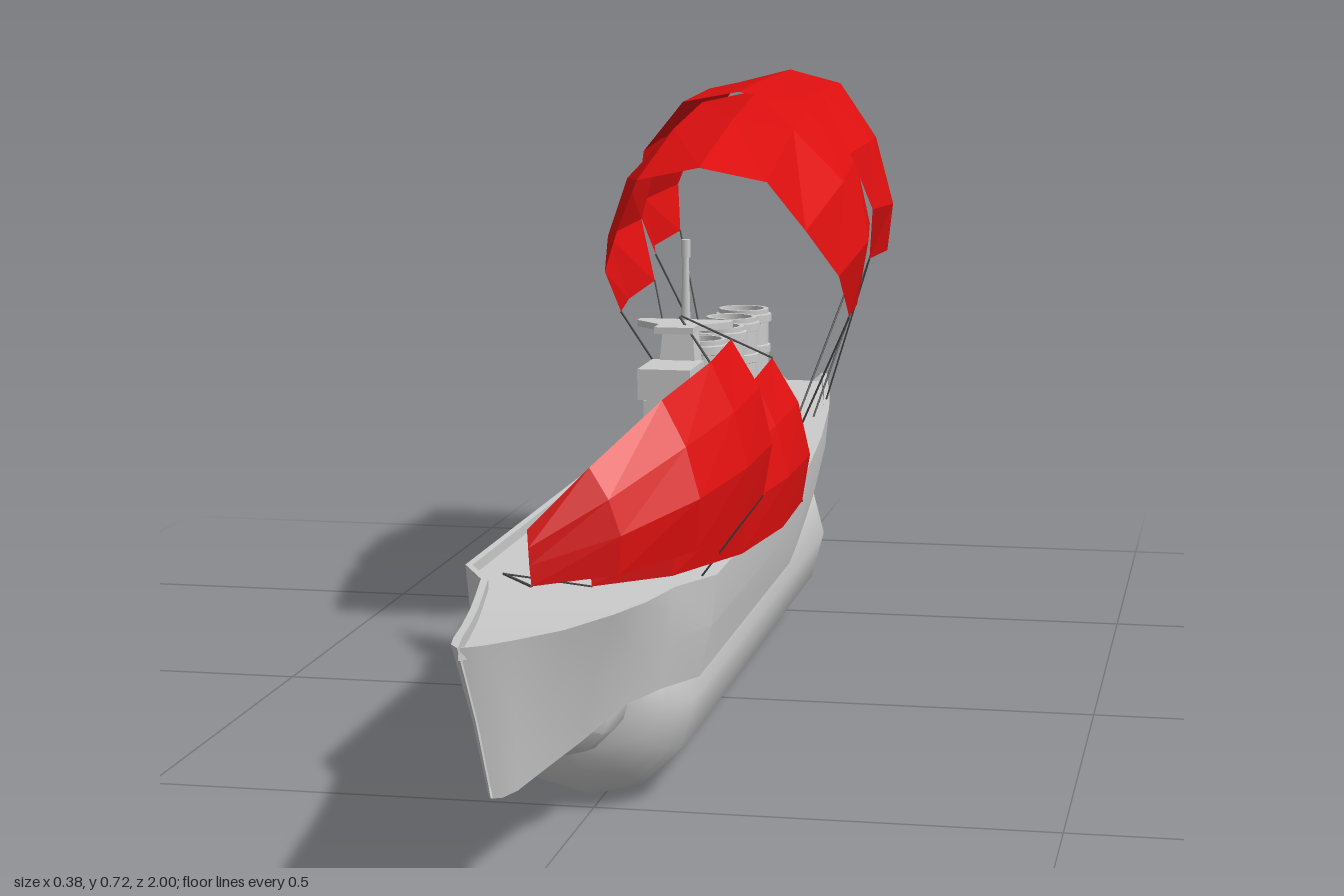
import * as THREE from 'three';
import { toCreasedNormals } from 'three/addons/utils/BufferGeometryUtils.js';

const grey = new THREE.MeshStandardMaterial({ color: 0xcccccc, side: THREE.DoubleSide });
const red = new THREE.MeshStandardMaterial({ color: 0xdd0f0f, side: THREE.DoubleSide, flatShading: true });
const ropeGrey = new THREE.MeshStandardMaterial({ color: 0x555555 });

function add(parent, name, geometry, material = grey, pos = [0, 0, 0]) {
  const mesh = new THREE.Mesh(geometry, material);
  mesh.name = name;
  mesh.position.set(...pos);
  parent.add(mesh);
  return mesh;
}

// Skin over rows of points, each row having the same count
function skin(rows) {
  const n = rows[0].length, index = [];
  for (let i = 0; i < rows.length - 1; i++) {
    for (let j = 0; j < n - 1; j++) {
      const a = i * n + j, b = a + n;
      index.push(a, b, a + 1, b, b + 1, a + 1);
    }
  }
  const g = new THREE.BufferGeometry();
  g.setAttribute('position', new THREE.Float32BufferAttribute(rows.flat(2), 3));
  g.setIndex(index);
  g.computeVertexNormals();
  return g;
}

// Box given by centre x, and ranges in y and z
function block(parent, name, w, y0, y1, z0, z1) {
  return add(parent, name, new THREE.BoxGeometry(w, y1 - y0, z1 - z0), grey, [0, (y0 + y1) / 2, (z0 + z1) / 2]);
}

// Turned solid lying along z, profile as [radius, z]
function turnedAlongZ(profile, sides) {
  const g = new THREE.LatheGeometry(profile.map(p => new THREE.Vector2(...p)), sides);
  g.rotateX(Math.PI / 2);
  return toCreasedNormals(g, 0.7);
}

function rope(parent, from, to) {
  const a = new THREE.Vector3(...from), b = new THREE.Vector3(...to);
  const mesh = add(parent, 'rope', new THREE.CylinderGeometry(0.0014, 0.0014, a.distanceTo(b), 4), ropeGrey);
  mesh.position.copy(a).add(b).multiplyScalar(0.5);
  mesh.quaternion.setFromUnitVectors(new THREE.Vector3(0, 1, 0), b.sub(a).normalize());
}

function buildHull(ship) {
  // top z, bottom z, top half-width, top y, bottom half-width, bottom y
  const stations = [
    [-1, -0.98, 0.04, 0.26, 0.032, 0.197],
    [-0.87, -0.87, 0.062, 0.258, 0.05, 0.19],
    [-0.8, -0.8, 0.074, 0.256, 0.06, 0.165],
    [-0.7, -0.7, 0.088, 0.254, 0.07, 0.143],
    [-0.45, -0.45, 0.114, 0.252, 0.096, 0.14],
    [-0.15, -0.15, 0.138, 0.252, 0.119, 0.14],
    [0.46, 0.46, 0.138, 0.252, 0.119, 0.14],
    [0.52, 0.52, 0.105, 0.25, 0.09, 0.14],
    [0.6, 0.59, 0.09, 0.25, 0.065, 0.138],
    [0.68, 0.66, 0.074, 0.254, 0.035, 0.116],
    [0.8, 0.76, 0.051, 0.264, 0.022, 0.114],
    [0.91, 0.84, 0.029, 0.278, 0.014, 0.114],
    [0.97, 0.87, 0.015, 0.286, 0.007, 0.115],
    [1, 0.885, 0.001, 0.29, 0.001, 0.118],
  ];
  const rings = stations.map(([zt, zb, w, yt, wb, yb]) => {
    const inner = Math.max(w - 0.008, w * 0.4), deck = yt - 0.012;
    const flare = zt > 0.55 ? 0.4 : 0.72;
    const mw = wb + (w - wb) * flare, my = (yt + yb) / 2, mz = zt * 0.45 + zb * 0.55;
    const half = [[inner, deck, zt], [inner, yt, zt], [w, yt, zt], [mw, my, mz], [wb, yb, zb]];
    const other = half.map(([x, y, z]) => [-x, y, z]).reverse();
    return [...half, ...other, half[0]];
  });
  // Flat transom closing the stern
  rings.unshift(rings[0].map(() => [0, 0.23, -0.99]));
  add(ship, 'hull', toCreasedNormals(skin(rings), 0.5));

  // Rounded tank under the hull with a smaller one through it
  const tank = [[0, -0.545]], r = 0.117;
  for (let i = 0; i <= 6; i++) {
    const a = i / 6 * Math.PI / 2;
    tank.push([r - 0.09 + 0.09 * Math.sin(a), -0.455 - 0.09 * Math.cos(a)]);
  }
  for (let i = 6; i >= 0; i--) {
    const a = i / 6 * Math.PI / 2;
    tank.push([r - 0.09 + 0.09 * Math.sin(a), 0.44 + 0.09 * Math.cos(a)]);
  }
  tank.push([0, 0.53]);
  add(ship, 'tank', turnedAlongZ(tank, 12), grey, [0, 0.118, 0]);
  add(ship, 'tankCore', turnedAlongZ([[0, -0.59], [0.022, -0.59], [0.036, -0.57], [0.055, -0.555], [0.058, -0.53],
    [0.058, 0.57], [0.052, 0.605], [0.03, 0.625], [0, 0.63]], 12), grey, [0, 0.136, 0]);
}

function buildSuperstructure(ship) {
  // Bridge tower
  block(ship, 'bridgeBase', 0.09, 0.235, 0.285, -0.075, 0.06);
  block(ship, 'bridgeBody', 0.062, 0.285, 0.37, -0.06, 0.03);
  block(ship, 'bridgeCabin', 0.068, 0.315, 0.345, -0.02, 0.065);
  block(ship, 'bridgeUpperCabin', 0.064, 0.375, 0.412, -0.03, 0.06);
  block(ship, 'bridgeNeck', 0.05, 0.34, 0.38, -0.045, 0.04);
  const tower = new THREE.CylinderGeometry(0.026, 0.046, 0.17, 4, 1).rotateY(Math.PI / 4);
  add(ship, 'bridgeTower', toCreasedNormals(tower, 0.5), grey, [0, 0.365, -0.045]);

  // Lookout platform with swept wings
  const plan = new THREE.Shape([[-0.058, 0.085], [0.058, 0.085], [0.058, 0.065], [0.024, 0.03],
    [0.024, 0], [-0.024, 0], [-0.024, 0.03], [-0.058, 0.065]].map(p => new THREE.Vector2(...p)));
  const wings = new THREE.ExtrudeGeometry(plan, { depth: 0.008, bevelEnabled: false }).rotateX(-Math.PI / 2);
  add(ship, 'lookoutPlatform', wings, grey, [0, 0.447, 0]);
  add(ship, 'mast', new THREE.CylinderGeometry(0.004, 0.006, 0.08, 8), grey, [0, 0.492, -0.078]);
  add(ship, 'mastHead', new THREE.CylinderGeometry(0.006, 0.006, 0.022, 8), grey, [0, 0.543, -0.078]);

  // Funnels on a shared plinth
  block(ship, 'funnelPlinth', 0.1, 0.235, 0.277, -0.545, -0.105);
  const profile = [[0.038, 0.26], [0.038, 0.3], [0.034, 0.302], [0.034, 0.36], [0.037, 0.361], [0.037, 0.371],
    [0.034, 0.372], [0.034, 0.402], [0.038, 0.403], [0.038, 0.413], [0.034, 0.414], [0.034, 0.42],
    [0.028, 0.42], [0.028, 0.36], [0, 0.36]].map(p => new THREE.Vector2(...p));
  const funnel = toCreasedNormals(new THREE.LatheGeometry(profile, 14), 0.6);
  for (const z of [-0.172, -0.3, -0.398, -0.492]) add(ship, 'funnel', funnel, grey, [0, 0, z]);

  // Deck posts with round heads
  for (const s of [-1, 1]) {
    add(ship, 'deckPost', new THREE.CylinderGeometry(0.006, 0.006, 0.045, 8), grey, [s * 0.056, 0.26, -0.09]);
    add(ship, 'deckPostHead', new THREE.SphereGeometry(0.009, 10, 8), grey, [s * 0.056, 0.28, -0.09]);
  }
}

function buildSails(group, ship) {
  // Side sails: columns from the front edge aft, each from top to bottom
  const sail = [
    [[0.008, 0.365, 0.82], [0.009, 0.347, 0.82], [0.01, 0.33, 0.82], [0.012, 0.31, 0.82]],
    [[0.06, 0.42, 0.78], [0.08, 0.39, 0.785], [0.092, 0.355, 0.785], [0.09, 0.317, 0.785]],
    [[0.115, 0.475, 0.7], [0.14, 0.43, 0.705], [0.155, 0.38, 0.71], [0.15, 0.327, 0.705]],
    [[0.145, 0.5, 0.6], [0.17, 0.45, 0.605], [0.185, 0.395, 0.61], [0.178, 0.338, 0.605]],
    [[0.148, 0.51, 0.5], [0.177, 0.46, 0.495], [0.19, 0.4, 0.49], [0.182, 0.347, 0.495]],
  ];
  for (const [dy, dz, name] of [[0, 0, 'foreSail'], [-0.055, -0.262, 'midSail']]) {
    add(group, name, skin(sail), red, [0, dy, dz]);
    rope(group, [-0.1, 0.25, 0.49], [0.012, 0.31 + dy, 0.82 + dz]);
    rope(group, [0.148, 0.51 + dy, 0.5 + dz], [-0.012, 0.463, -0.05]);
    rope(group, [0.182, 0.347 + dy, 0.495 + dz], dz ? [-0.012, 0.463, -0.04] : [0.11, 0.25, 0.46]);
  }

  // Arched sails: front, middle and back edge, each from crown to tip
  const arches = {
    archSailFront: [
      [[0, 0.635, -0.165], [0.083, 0.617, -0.182], [0.122, 0.55, -0.25], [0.155, 0.485, -0.32], [0.155, 0.42, -0.42]],
      [[0, 0.682, -0.41], [0.08, 0.668, -0.41], [0.146, 0.6, -0.42], [0.177, 0.52, -0.44], [0.157, 0.43, -0.48]],
      [[0, 0.709, -0.6], [0.078, 0.692, -0.6], [0.138, 0.62, -0.59], [0.16, 0.53, -0.58], [0.135, 0.448, -0.55]],
    ],
    archSailBack: [
      [[0, 0.715, -0.445], [0.078, 0.7, -0.46], [0.142, 0.63, -0.51], [0.165, 0.55, -0.57], [0.152, 0.475, -0.64]],
      [[0, 0.722, -0.66], [0.078, 0.708, -0.66], [0.148, 0.637, -0.67], [0.178, 0.548, -0.69], [0.168, 0.48, -0.71]],
      [[0, 0.725, -0.885], [0.075, 0.706, -0.88], [0.132, 0.63, -0.85], [0.155, 0.56, -0.82], [0.145, 0.495, -0.785]],
    ],
  };
  for (const [name, edges] of Object.entries(arches)) {
    const rows = edges.map(e => [...e, ...e.slice(1).map(([x, y, z]) => [-x, y, z])].sort((p, q) => p[0] - q[0]));
    // Rebuild tip order, as the widest point lies above the tip
    edges.forEach((e, i) => {
      rows[i] = [...e.slice(1).reverse().map(([x, y, z]) => [-x, y, z]), ...e];
    });
    add(ship, name, skin(rows), red);
    const deckZ = name === 'archSailFront' ? [-0.53, -0.44] : [-0.775, -0.67];
    for (const s of [-1, 1]) {
      [edges[0][4], edges[2][4]].forEach(([x, y, z], i) => rope(ship, [s * x, y, z], [s * 0.07, 0.245, deckZ[i]]));
    }
  }
}

export function createModel() {
  const model = new THREE.Group();
  model.name = 'sailingShip';
  const ship = new THREE.Group();
  ship.name = 'ship';
  ship.position.x = -0.012;
  model.add(ship);
  buildHull(ship);
  buildSuperstructure(ship);
  buildSails(model, ship);
  return model;
}
